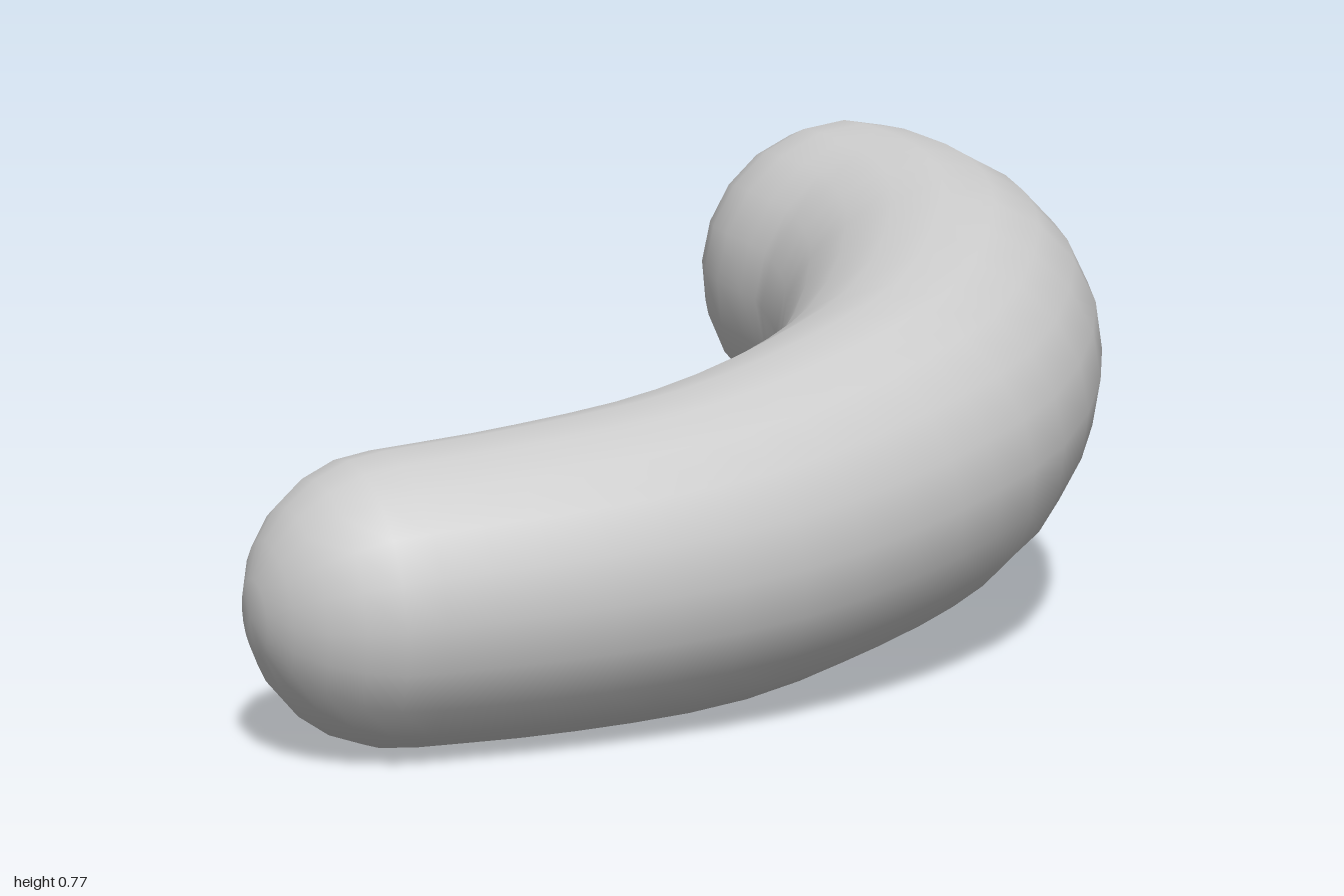
import * as THREE from 'three';

// Centreline stations: x, y, z, radius
const STATIONS = [
  [-0.78, 0.215, 0.285, 0.218],
  [-0.55, 0.225, 0.35, 0.23],
  [-0.28, 0.245, 0.388, 0.243],
  [0.0, 0.29, 0.365, 0.253],
  [0.24, 0.34, 0.29, 0.26],
  [0.54, 0.42, 0.05, 0.273],
  [0.67, 0.465, -0.16, 0.275],
  [0.722, 0.492, -0.365, 0.271],
];
const AROUND = 20, ALONG = 21, CAP = 6;

// Sweep of round sections along the bend, closed by hemispherical ends
function sausageGeometry() {
  const curve = new THREE.CatmullRomCurve3(STATIONS.map(s => new THREE.Vector3(s[0], s[1], s[2])));
  const radiusAt = t => {
    const f = t * (STATIONS.length - 1);
    const i = Math.min(Math.floor(f), STATIONS.length - 2);
    return THREE.MathUtils.lerp(STATIONS[i][3], STATIONS[i + 1][3], f - i);
  };

  const rings = [];
  const addRing = (t, shift, scale) => {
    const r = radiusAt(t);
    const tangent = curve.getTangent(t);
    const centre = curve.getPoint(t).addScaledVector(tangent, shift * r);
    const side = new THREE.Vector3().crossVectors(tangent, new THREE.Vector3(0, 1, 0)).normalize();
    const up = new THREE.Vector3().crossVectors(side, tangent);
    rings.push({ centre, side, up, r: r * scale });
  };
  const quarter = Math.PI / 2;
  for (let i = 1; i < CAP; i++) addRing(0, -Math.cos(i / CAP * quarter), Math.sin(i / CAP * quarter));
  for (let i = 0; i <= ALONG; i++) addRing(i / ALONG, 0, 1);
  for (let i = CAP - 1; i > 0; i--) addRing(1, Math.cos(i / CAP * quarter), Math.sin(i / CAP * quarter));

  const positions = [], index = [];
  for (const { centre, side, up, r } of rings) {
    for (let j = 0; j < AROUND; j++) {
      const a = j / AROUND * Math.PI * 2;
      const p = centre.clone().addScaledVector(side, r * Math.cos(a)).addScaledVector(up, r * Math.sin(a));
      positions.push(p.x, p.y, p.z);
    }
  }
  // Poles of the two rounded ends
  const first = rings.length * AROUND, last = first + 1;
  for (const [t, dir] of [[0, -1], [1, 1]]) {
    const p = curve.getPoint(t).addScaledVector(curve.getTangent(t), dir * radiusAt(t));
    positions.push(p.x, p.y, p.z);
  }

  const end = (rings.length - 1) * AROUND;
  for (let j = 0; j < AROUND; j++) {
    const k = (j + 1) % AROUND;
    for (let i = 0; i < rings.length - 1; i++) {
      const a = i * AROUND, b = a + AROUND;
      index.push(a + j, b + j, a + k, b + j, b + k, a + k);
    }
    index.push(first, j, k, last, end + k, end + j);
  }

  const geometry = new THREE.BufferGeometry();
  geometry.setAttribute('position', new THREE.Float32BufferAttribute(positions, 3));
  geometry.setIndex(index);
  geometry.computeVertexNormals();
  return geometry;
}

export function createModel() {
  const group = new THREE.Group();
  group.name = 'curvedSausage';
  const body = new THREE.Mesh(sausageGeometry(), new THREE.MeshStandardMaterial({ color: 0xcccccc }));
  body.name = 'sausageBody';
  group.add(body);
  return group;
}
